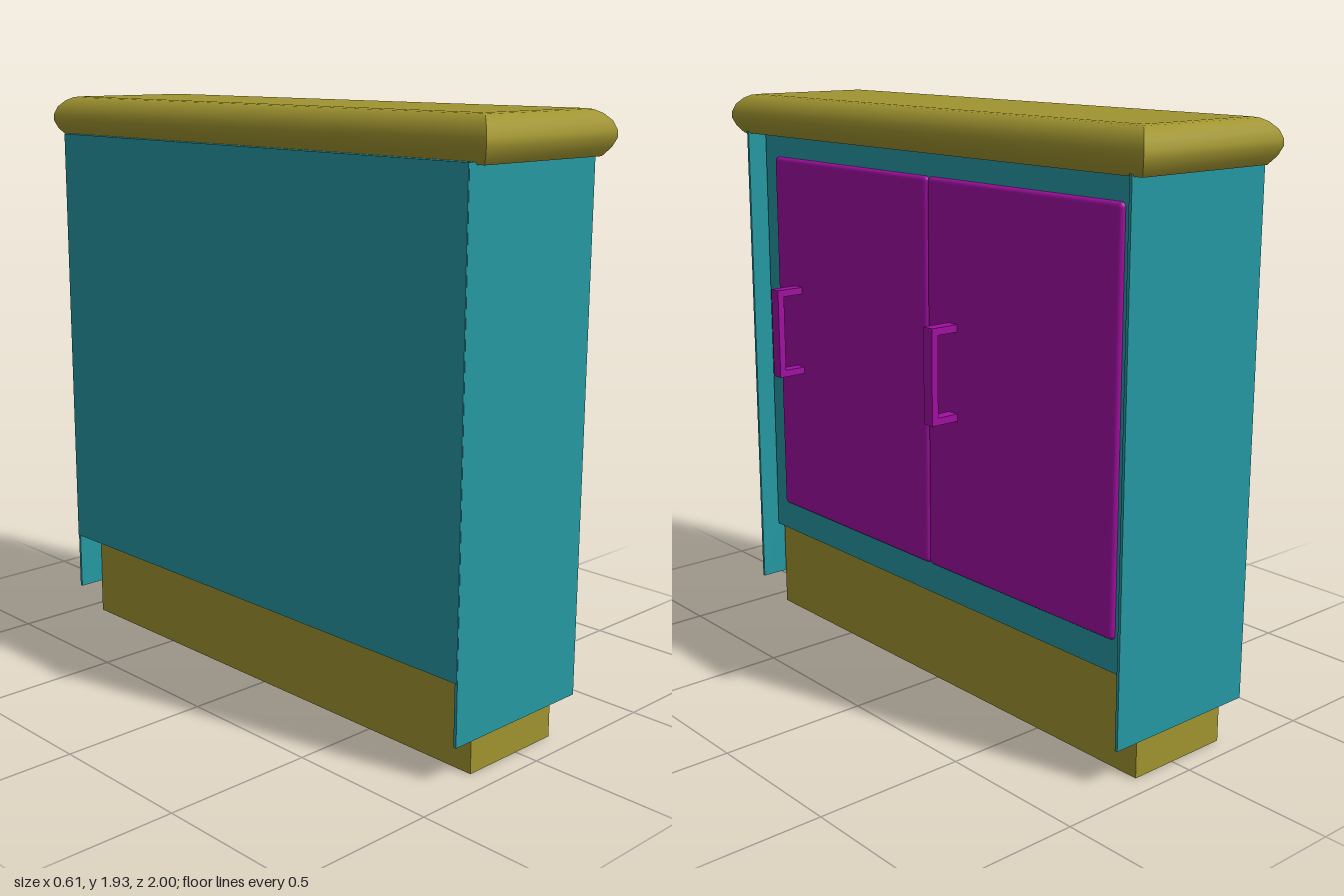
import * as THREE from 'three';
import { RoundedBoxGeometry } from 'three/addons/geometries/RoundedBoxGeometry.js';

const mat = (name, color, side = THREE.FrontSide) => {
  const m = new THREE.MeshStandardMaterial({ color, side });
  m.name = name;
  return m;
};

// Rectangular slab whose edge follows a rounded profile of [inset, y], mitred at the corners
function mouldedSlab(x0, x1, z0, z1, profile) {
  const pos = [], idx = [];
  const corners = ([d, y]) => [
    [x0 + d, y, z1 - d], [x1 - d, y, z1 - d], [x1 - d, y, z0 + d], [x0 + d, y, z0 + d],
  ];
  // Each side has its own vertices, so the mitres stay sharp
  for (let s = 0; s < 4; s++) {
    const base = pos.length / 3;
    profile.forEach((p, i) => {
      const c = corners(p);
      pos.push(...c[s], ...c[(s + 1) % 4]);
      if (i > 0) {
        const a = base + (i - 1) * 2;
        idx.push(a, a + 1, a + 3, a, a + 3, a + 2);
      }
    });
  }
  // Top and bottom caps
  const top = pos.length / 3;
  pos.push(...corners(profile[profile.length - 1]).flat(), ...corners(profile[0]).flat());
  idx.push(top, top + 1, top + 2, top, top + 2, top + 3);
  idx.push(top + 4, top + 6, top + 5, top + 4, top + 7, top + 6);
  const g = new THREE.BufferGeometry();
  g.setAttribute('position', new THREE.Float32BufferAttribute(pos, 3));
  g.setIndex(idx);
  g.computeVertexNormals();
  return g;
}

// C-shaped pull, extruded along z
function handleGeometry(xBack, xFront, y0, y1, width) {
  const t = 0.024;
  const pts = [
    [xBack, y0], [xFront, y0], [xFront, y1], [xBack, y1],
    [xBack, y1 - t], [xFront - t, y1 - t], [xFront - t, y0 + t], [xBack, y0 + t],
  ];
  const shape = new THREE.Shape(pts.map(([x, y]) => new THREE.Vector2(x, y)));
  const g = new THREE.ExtrudeGeometry(shape, { depth: width, bevelEnabled: false });
  g.translate(0, 0, -width / 2);
  return g;
}

export function createModel() {
  const group = new THREE.Group();
  const teal = mat('teal paint', 0x2598a2);
  const olive = mat('olive wood', 0xa09430);
  const purple = mat('purple paint', 0xa00fa0);

  const add = (name, geometry, material) => {
    const m = new THREE.Mesh(geometry, material);
    m.name = name;
    group.add(m);
    return m;
  };
  // Box given by its limits on each axis
  const box = (name, material, [x0, x1], [y0, y1], [z0, z1]) => {
    const m = add(name, new THREE.BoxGeometry(x1 - x0, y1 - y0, z1 - z0), material);
    m.position.set((x0 + x1) / 2, (y0 + y1) / 2, (z0 + z1) / 2);
    return m;
  };

  // Recessed base and carcass
  box('plinth', olive, [-0.21, 0.16], [0, 0.33], [-0.93, 0.92]);
  box('carcass', teal, [-0.295, 0.185], [0.32, 1.8], [-0.925, 0.922]);
  box('backPanel', teal, [-0.305, -0.295], [0.32, 1.8], [-0.935, 0.94]);

  // Thin side panels, standing proud of the doors and hanging below the carcass
  box('leftSidePanel', teal, [-0.302, 0.25], [0.12, 1.8], [0.931, 0.941]);
  box('rightSidePanel', teal, [-0.302, 0.25], [0.12, 1.8], [-0.937, -0.927]);

  // Worktop with rounded edge
  add('worktop', mouldedSlab(-0.305, 0.275, -1, 1, [
    [0.032, 1.792], [0.012, 1.818], [0.001, 1.845], [0.001, 1.865],
    [0.012, 1.893], [0.032, 1.914], [0.052, 1.925], [0.07, 1.928],
  ]), olive);

  // Two doors, each with a pull
  for (const [side, z0, z1, zHandle] of [['left', -0.004, 0.85, 0.718], ['right', -0.855, -0.006, -0.135]]) {
    const door = add(side + 'Door', new RoundedBoxGeometry(0.05, 1.288, z1 - z0, 3, 0.015), purple);
    door.position.set(0.175, 1.069, (z0 + z1) / 2);
    const handle = add(side + 'Handle', handleGeometry(0.19, 0.302, 0.95, 1.264, 0.042), purple);
    handle.position.z = zHandle;
  }
  return group;
}
